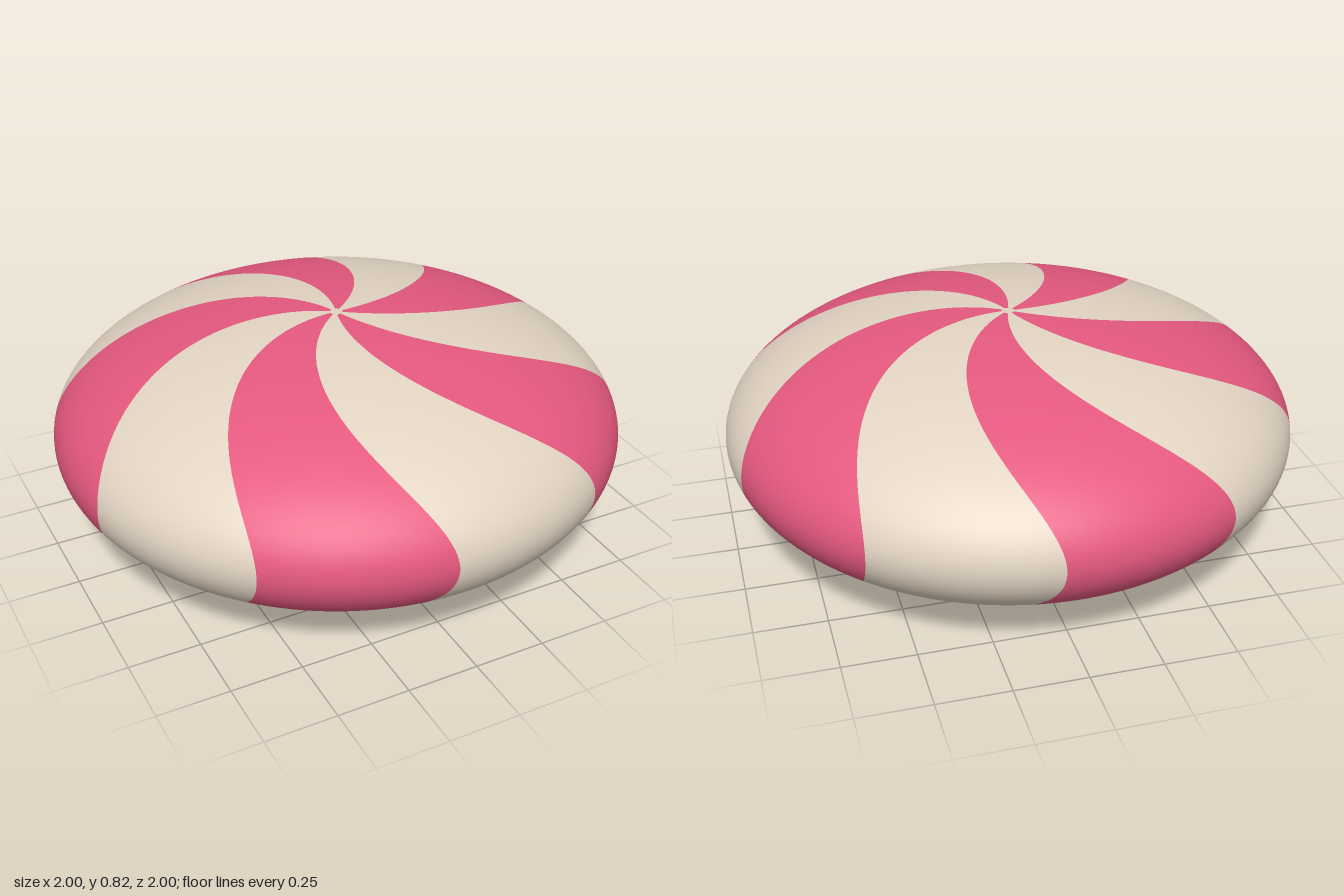
import * as THREE from 'three';
import { mergeGeometries } from 'three/addons/utils/BufferGeometryUtils.js';

const STRIPES = 5;                               // pairs of pink and cream bands
const BAND = Math.PI / STRIPES;                  // width of one band
const START = THREE.MathUtils.degToRad(22.7);    // first pink edge at the rim
const TWIST = THREE.MathUtils.degToRad(49.7);    // swirl from rim to pole
const HALF_HEIGHT = 0.41;
const POLE = 0.022;                              // plain spot at each pole

// Squash the unit sphere into the candy shape, resting on y = 0
function squash(geometry) {
  return geometry.scale(1, HALF_HEIGHT, 1).translate(0, HALF_HEIGHT, 0);
}

// One swirled band running from pole to pole
function band(angle) {
  const geometry = new THREE.SphereGeometry(
    1, 14, 96, Math.PI - angle - BAND, BAND, POLE, Math.PI - 2 * POLE);
  const { position, normal } = geometry.attributes;
  for (let i = 0; i < position.count; i++) {
    const x = position.getX(i), y = position.getY(i), z = position.getZ(i);
    const turn = TWIST * (1 - Math.hypot(x, z));
    const c = Math.cos(turn), s = Math.sin(turn);
    position.setXYZ(i, x * c - z * s, y, x * s + z * c);
    normal.setXYZ(i, x * c - z * s, y, x * s + z * c);
  }
  return squash(geometry);
}

export function createModel() {
  const pink = new THREE.MeshStandardMaterial({ color: 0xe4587f });
  pink.name = 'candy pink';
  const cream = new THREE.MeshStandardMaterial({ color: 0xe2d4c2 });
  cream.name = 'cream';

  const candy = new THREE.Group();
  candy.name = 'swirlCandy';
  const add = (name, geometry, material) => {
    const mesh = new THREE.Mesh(geometry, material);
    mesh.name = name;
    candy.add(mesh);
  };

  // Alternating bands
  const pinkBands = [], creamBands = [];
  for (let i = 0; i < STRIPES; i++) {
    const angle = START + i * 2 * BAND;
    pinkBands.push(band(angle));
    creamBands.push(band(angle + BAND));
  }
  add('pinkStripes', mergeGeometries(pinkBands), pink);
  add('creamStripes', mergeGeometries(creamBands), cream);

  // Plain spots where the bands meet
  const spot = (from) => squash(
    new THREE.SphereGeometry(1, 60, 2, 0, Math.PI * 2, from, POLE));
  add('topSpot', spot(0), cream);
  add('bottomSpot', spot(Math.PI - POLE), cream);

  return candy;
}
